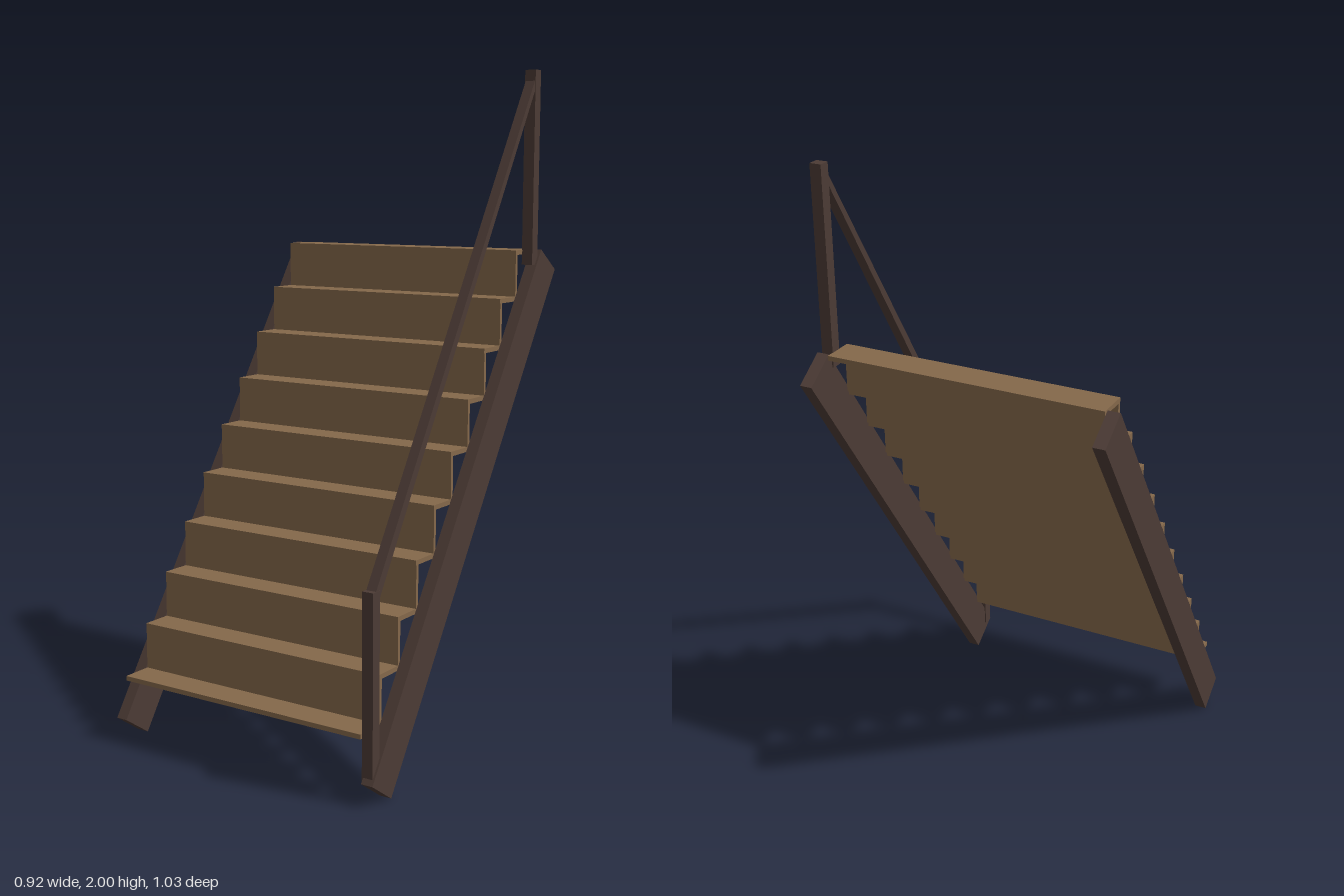
import * as THREE from 'three';

export function createModel() {
  const group = new THREE.Group();
  const darkWood = new THREE.MeshStandardMaterial({ color: 0x4c3b35 });
  darkWood.name = 'darkWood';
  const stepWood = new THREE.MeshStandardMaterial({ color: 0x84684a });
  stepWood.name = 'stepWood';

  // box given by its extents on each axis
  function box(name, material, [x0, x1], [y0, y1], [z0, z1]) {
    const mesh = new THREE.Mesh(new THREE.BoxGeometry(x1 - x0, y1 - y0, z1 - z0), material);
    mesh.position.set((x0 + x1) / 2, (y0 + y1) / 2, (z0 + z1) / 2);
    mesh.name = name;
    group.add(mesh);
  }

  // side outline of [z, y] points, extruded from x0 to x1
  function sidePlate(name, points, x0, x1) {
    const shape = new THREE.Shape(points.map(([z, y]) => new THREE.Vector2(-z, y)));
    const geometry = new THREE.ExtrudeGeometry(shape, { depth: x1 - x0, bevelEnabled: false });
    geometry.rotateY(Math.PI / 2);
    geometry.translate(x0, 0, 0);
    const mesh = new THREE.Mesh(geometry, darkWood);
    mesh.name = name;
    group.add(mesh);
  }

  // sloping side beams
  const beam = [[0.515, 0.066], [0.42, 0], [-0.515, 1.4], [-0.42, 1.465]];
  sidePlate('leftStringer', beam, 0.424, 0.461);
  sidePlate('rightStringer', beam, -0.461, -0.424);

  // treads with a riser standing at the back of each
  const width = [-0.421, 0.421];
  const count = 10, rise = 0.14, run = 0.0938, thick = 0.014;
  for (let i = 0; i < count; i++) {
    const top = 0.205 + i * rise;
    const front = 0.514 - i * run;
    box('tread', stepWood, width, [top - thick, top], [front - run - 0.006, front]);
    if (i < count - 1) {
      box('riser', stepWood, width, [top, top + rise - thick], [front - run - 0.012, front - run - 0.001]);
    }
  }

  // handrail on the left side
  const railX = [0.42, 0.455];
  box('lowerPost', darkWood, railX, [0.07, 0.6], [0.472, 0.505]);
  box('upperPost', darkWood, railX, [1.42, 2], [-0.406, -0.372]);
  sidePlate('handrail', [[0.488, 0.6], [0.472, 0.575], [-0.39, 1.965], [-0.39, 1.996]], 0.422, 0.453);

  return group;
}
